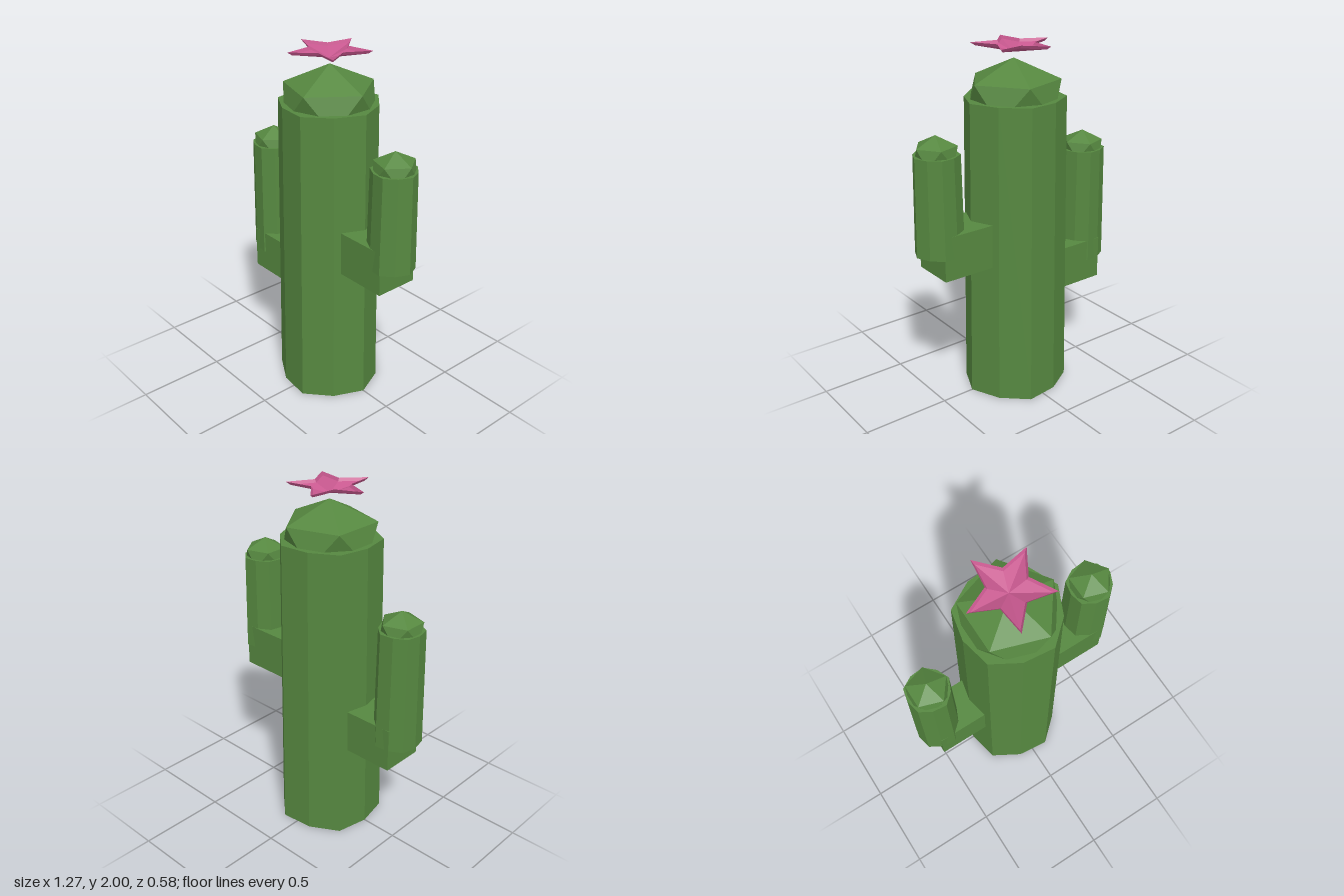
import * as THREE from 'three';

const green = new THREE.MeshStandardMaterial({ color: 0x568840, flatShading: true, side: THREE.DoubleSide });
green.name = 'cactus green';
const pink = new THREE.MeshStandardMaterial({ color: 0xc8588f, flatShading: true, side: THREE.DoubleSide });
pink.name = 'flower pink';

// Joins rings from bottom to top. Each ring: height y, radii r (repeated around), twist in radians.
function loft(sides, rings) {
  const point = ({ y, r, twist = 0 }, i) => {
    const a = (i / sides) * Math.PI * 2 + twist;
    const radius = r[(i % sides) % r.length];
    return [radius * Math.cos(a), y, -radius * Math.sin(a)];
  };
  const positions = [];
  for (let k = 0; k < rings.length - 1; k++) {
    const [low, high] = [rings[k], rings[k + 1]];
    for (let i = 0; i < sides; i++) {
      if (low.r[0] > 0) positions.push(...point(low, i), ...point(low, i + 1), ...point(high, i));
      if (high.r[0] > 0) positions.push(...point(high, i), ...point(low, i + 1), ...point(high, i + 1));
    }
  }
  const geometry = new THREE.BufferGeometry();
  geometry.setAttribute('position', new THREE.Float32BufferAttribute(positions, 3));
  geometry.computeVertexNormals();
  return geometry;
}

function addMesh(parent, name, geometry, material, x = 0, y = 0) {
  const mesh = new THREE.Mesh(geometry, material);
  mesh.name = name;
  mesh.position.set(x, y, 0);
  parent.add(mesh);
}

// Ten-sided ribbed stem, tapered, open below, with a five-sided dome on top
function addStem(parent, name, x, y, height, scale, domeHeight) {
  const big = 0.306 * scale, small = 0.286 * scale, taper = 0.93;
  addMesh(parent, name, loft(10, [
    { y: 0, r: [big, small] },
    { y: height, r: [big * taper, small * taper] },
    { y: height, r: [0] },
  ]), green, x, y);
  const r = 0.254 * scale;
  addMesh(parent, name + 'Dome', loft(5, [
    { y: -0.447 * domeHeight, r: [r], twist: -Math.PI / 5 },
    { y: 0.447 * domeHeight, r: [r] },
    { y: domeHeight, r: [0] },
  ]), green, x, y + height);
}

export function createModel() {
  const group = new THREE.Group();
  group.name = 'cactus';

  addStem(group, 'trunk', 0, 0, 1.715, 1, 0.205);

  // Arms: a square elbow out of the trunk, then an upright stem
  const arms = [
    { name: 'leftArm', side: 1, elbowY: 0.942, stemY: 0.94, height: 0.545 },
    { name: 'rightArm', side: -1, elbowY: 0.67, stemY: 0.67, height: 0.67 },
  ];
  for (const { name, side, elbowY, stemY, height } of arms) {
    const arm = new THREE.Group();
    arm.name = name;
    addMesh(arm, name + 'Elbow', new THREE.BoxGeometry(0.305, 0.248, 0.25), green, side * 0.39, elbowY);
    addStem(arm, name + 'Stem', side * 0.5, stemY, height, 0.45, 0.102);
    group.add(arm);
  }

  // Star flower: a shallow bowl with a steeper rim, floating above the dome
  addMesh(group, 'starFlower', loft(10, [
    { y: 0, r: [0], twist: Math.PI / 5 },
    { y: 0.034, r: [0.205, 0.098], twist: Math.PI / 5 },
    { y: 0.05, r: [0.229, 0.109], twist: Math.PI / 5 },
  ]), pink, -0.003, 1.95);

  return group;
}
